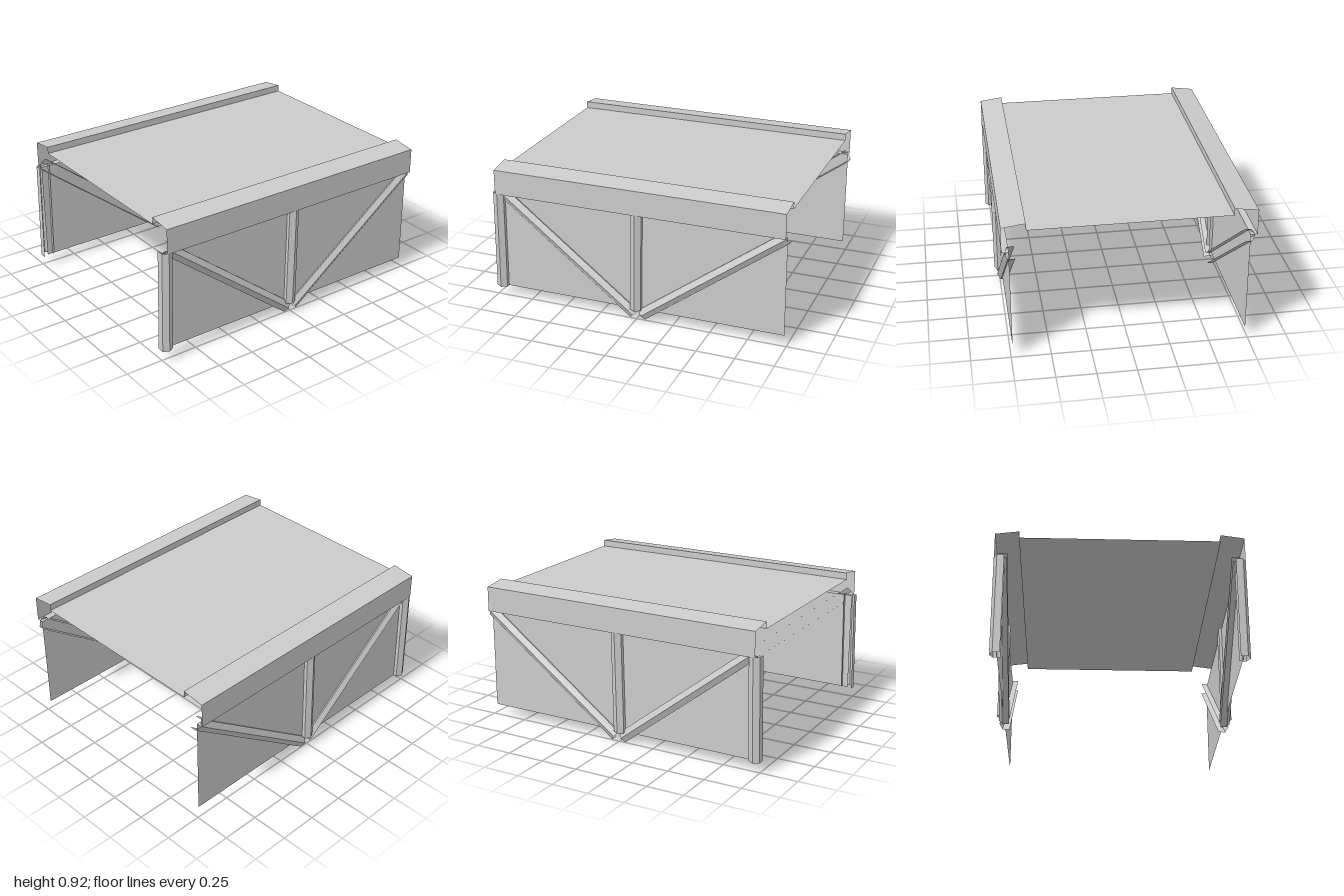
import * as THREE from 'three';

const material = new THREE.MeshStandardMaterial({ color: 0xcccccc, side: THREE.DoubleSide, flatShading: true });

// Sheet folded along an open profile and swept straight between two ends.
// place(point, end) turns a profile point into a position at end 0 or 1.
function sheet(name, profile, place) {
  const pos = [];
  for (let i = 0; i < profile.length - 1; i++) {
    const a = place(profile[i], 0), b = place(profile[i], 1);
    const c = place(profile[i + 1], 1), d = place(profile[i + 1], 0);
    pos.push(...a, ...b, ...c, ...a, ...c, ...d);
  }
  const geometry = new THREE.BufferGeometry();
  geometry.setAttribute('position', new THREE.Float32BufferAttribute(pos, 3));
  geometry.computeVertexNormals();
  const mesh = new THREE.Mesh(geometry, material);
  mesh.name = name;
  return mesh;
}

// Ridged channel running in the side plane from [x, y] to [x, y];
// cut is the direction of the end cut, depth shifts it outwards.
function channel(name, from, to, cut, depth, side) {
  const profile = [[-0.037, 0.70], [-0.037, 0.745], [0, 0.766], [0.037, 0.745], [0.037, 0.70]];
  const ends = [from, to];
  return sheet(name, profile, ([u, z], e) =>
    [ends[e][0] + u * cut[0], ends[e][1] + u * cut[1], side * (z + depth)]);
}

function diagonal(name, from, to, side) {
  const dx = to[0] - from[0], dy = to[1] - from[1], len = Math.hypot(dx, dy);
  return channel(name, from, to, [-dy / len, dx / len], 0, side);
}

export function createModel() {
  const model = new THREE.Group();
  model.name = 'trussBridgeDeck';
  const X = [-0.965, 0.982];
  const alongX = (side) => ([z, y], e) => [X[e], y, side * z];

  // Deck between the two edge beams
  model.add(sheet('deck', [[0.63, 0.88], [-0.63, 0.88]], alongX(1)));

  for (const side of [1, -1]) {
    const wall = new THREE.Group();
    wall.name = side > 0 ? 'frontSide' : 'backSide';

    // Edge beam: inner kerb, sloping top, outer face, lower ledge
    wall.add(sheet('edgeBeam',
      [[0.63, 0.88], [0.63, 0.925], [0.78, 0.905], [0.78, 0.74], [0.737, 0.74]], alongX(side)));

    // Side panel below the beam
    wall.add(sheet('sidePanel', [[0.737, 0.74], [0.737, 0.072]], alongX(side)));

    // Upright posts, leaning slightly
    wall.add(channel('endPost', [-0.963, 0.072], [-0.952, 0.745], [1, 0], 0.016, side));
    wall.add(channel('centrePost', [-0.004, 0.072], [0.007, 0.745], [1, 0], 0.016, side));

    // Diagonal braces meeting at the bottom centre
    wall.add(diagonal('rightBrace', [-0.02, 0.034], [-0.95, 0.762], side));
    wall.add(diagonal('leftBrace', [0.033, 0.036], [0.978, 0.735], side));
    model.add(wall);
  }
  return model;
}
